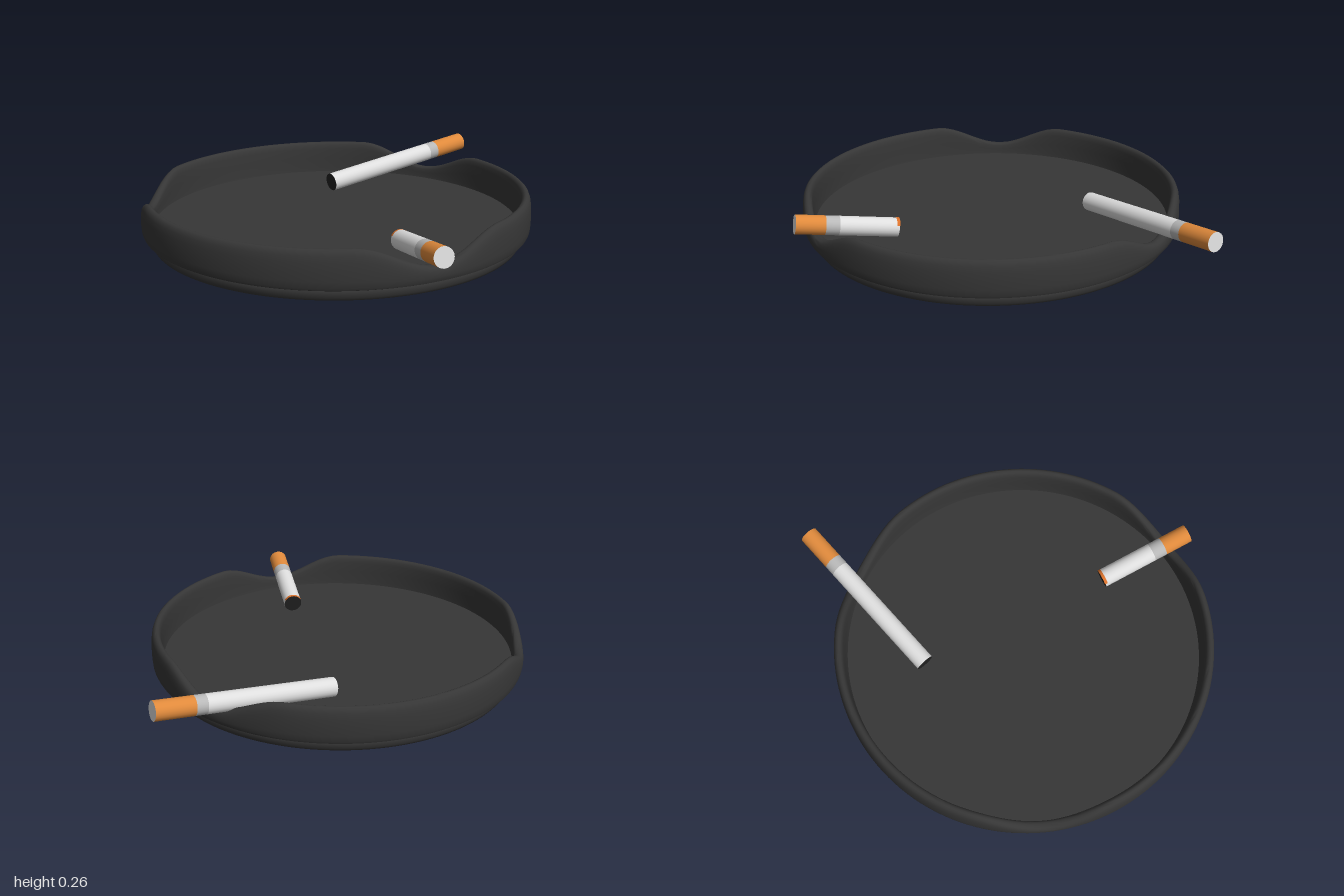
import * as THREE from 'three';
import { toCreasedNormals } from 'three/addons/utils/BufferGeometryUtils.js';

const mat = (name, color, side = THREE.FrontSide) => {
  const m = new THREE.MeshStandardMaterial({ color, side });
  m.name = name;
  return m;
};

const CENTER_Z = 0.133;
const NOTCH = THREE.MathUtils.degToRad(34.5);
const HALF_WIDTH = THREE.MathUtils.degToRad(23);

// How far the rim sinks at a given angle: 0 = full height, 1 = notch bottom
function notchDepth(angle) {
  const step = (Math.PI * 2) / 3;
  let d = (angle - NOTCH) / step;
  d = Math.abs(d - Math.round(d)) * step;
  return d < HALF_WIDTH ? 0.5 + 0.5 * Math.cos((Math.PI * d) / HALF_WIDTH) : 0;
}

function lathe(name, points, material, notched) {
  const geo = new THREE.LatheGeometry(points.map(([r, y]) => new THREE.Vector2(r, y)), 144);
  if (notched) {
    // Squash the wall above the floor level wherever a notch passes
    const p = geo.attributes.position, floor = 0.085;
    for (let i = 0; i < p.count; i++) {
      const y = p.getY(i);
      if (y <= floor) continue;
      const k = 1 - 0.66 * notchDepth(Math.atan2(p.getZ(i), p.getX(i)));
      p.setY(i, floor + (y - floor) * k);
    }
  }
  const mesh = new THREE.Mesh(toCreasedNormals(geo, 0.75), material);
  mesh.name = name;
  return mesh;
}

export function createModel() {
  const dark = mat('dark ceramic', 0x363636);
  const paper = mat('white paper', 0xdedede);
  const band = mat('grey band', 0xb9b9b9);
  const filter = mat('orange filter', 0xe08a3c);
  const ash = mat('burnt ash', 0x222222);
  const ember = mat('ember', 0xd9702a, THREE.DoubleSide);

  const model = new THREE.Group();
  model.name = 'ashtray';

  // Tray: stepped foot and notched bowl
  const tray = new THREE.Group();
  tray.name = 'tray';
  tray.position.z = CENTER_Z;
  tray.add(lathe('foot', [
    [0, 0], [0.3, 0.004], [0.76, 0.01], [0.8, 0.013], [0.82, 0.02], [0.827, 0.032],
    [0.832, 0.055], [0.828, 0.064], [0.8, 0.07], [0, 0.07],
  ], dark, false));
  tray.add(lathe('bowl', [
    [0, 0.066], [0.82, 0.067], [0.848, 0.069], [0.859, 0.074], [0.863, 0.084], [0.865, 0.11],
    [0.865, 0.15], [0.863, 0.185], [0.859, 0.21], [0.853, 0.225], [0.844, 0.233], [0.836, 0.234],
    [0.828, 0.23], [0.822, 0.22], [0.819, 0.2], [0.817, 0.15], [0.816, 0.1], [0.814, 0.082], [0, 0.08],
  ], dark, true));
  model.add(tray);

  // Cigarette lying from its burnt end to its filter end
  function cigarette(name, burnt, end, filterLength, bandLength, glowing) {
    const a = new THREE.Vector3(...burnt), b = new THREE.Vector3(...end);
    const length = a.distanceTo(b), R = 0.043;
    const g = new THREE.Group();
    g.name = name;
    g.position.copy(a);
    g.quaternion.setFromUnitVectors(new THREE.Vector3(0, 1, 0), b.clone().sub(a).normalize());

    const section = (part, from, to, material) => {
      const m = new THREE.Mesh(new THREE.CylinderGeometry(R, R, to - from, 24, 1, true), material);
      m.position.y = (from + to) / 2;
      m.name = part;
      g.add(m);
    };
    const filterStart = length - filterLength;
    section('paper', 0, filterStart - bandLength, paper);
    section('band', filterStart - bandLength, filterStart, band);
    section('filter', filterStart, length, filter);

    const cap = (part, y, turn, material) => {
      const m = new THREE.Mesh(new THREE.CircleGeometry(R, 24), material);
      m.position.y = y;
      m.rotation.x = turn;
      m.name = part;
      g.add(m);
    };
    cap('filterEnd', length, -Math.PI / 2, paper);
    cap('burntEnd', 0, Math.PI / 2, ash);

    if (glowing) {
      // Thin glowing edge on the upper half of the burnt end
      const up = new THREE.Vector3(0, 1, 0).applyQuaternion(g.quaternion.clone().invert());
      const arc = new THREE.Mesh(new THREE.CylinderGeometry(
        R + 0.001, R + 0.001, 0.014, 16, 1, true, Math.atan2(up.x, up.z) - 1.1, 2.2), ember);
      arc.position.y = 0.004;
      arc.name = 'emberEdge';
      g.add(arc);
    }
    model.add(g);
  }
  cigarette('longCigarette', [-0.237, 0.122, -0.262], [0.147, 0.215, -0.982], 0.175, 0.05, false);
  cigarette('shortCigarette', [0.43, 0.124, 0.377], [0.75, 0.2, 0.688], 0.13, 0.06, true);

  return model;
}
